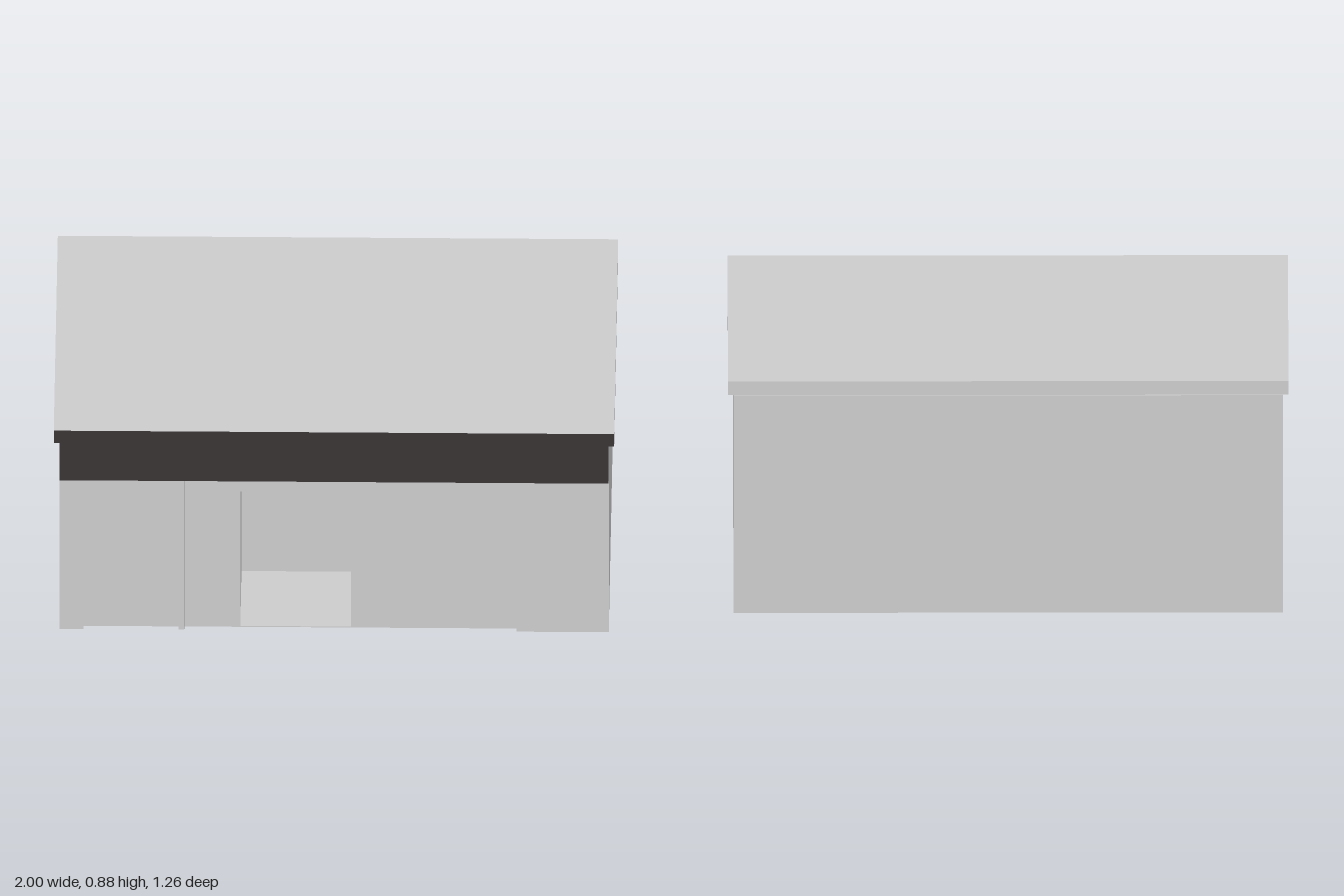
import * as THREE from 'three';

export function createModel() {
  const group = new THREE.Group();
  group.name = 'shopBuilding';
  const grey = new THREE.MeshStandardMaterial({ color: 0xcccccc, flatShading: true });
  const dark = new THREE.MeshStandardMaterial({ color: 0x3a3435, flatShading: true });
  // Box faces run +x, -x, +y, -y, +z, -z: only the front is dark
  const darkFront = [grey, grey, grey, grey, dark, grey];

  const back = -0.63, wallFront = 0.555, doorBack = 0.2;

  function box(name, x0, x1, y0, y1, z0, z1, material = grey) {
    const mesh = new THREE.Mesh(new THREE.BoxGeometry(x1 - x0, y1 - y0, z1 - z0), material);
    mesh.position.set((x0 + x1) / 2, (y0 + y1) / 2, (z0 + z1) / 2);
    mesh.name = name;
    group.add(mesh);
  }

  function rect(path, x0, x1, y0, y1) {
    path.moveTo(x0, y0);
    path.lineTo(x1, y0);
    path.lineTo(x1, y1);
    path.lineTo(x0, y1);
    path.closePath();
    return path;
  }

  // Front half of the body, with the doorway recess and its thin floor
  const wall = rect(new THREE.Shape(), -0.98, 0.98, 0, 0.83);
  wall.holes.push(rect(new THREE.Path(), -0.335, 0.06, 0.004, 0.58));
  const frontBody = new THREE.Mesh(
    new THREE.ExtrudeGeometry(wall, { depth: wallFront - doorBack, bevelEnabled: false }), grey);
  frontBody.position.z = doorBack;
  frontBody.name = 'frontBody';
  group.add(frontBody);

  // Solid rear half closes the recess
  box('rearBody', -0.98, 0.98, 0, 0.83, back, doorBack);

  // Shallow pilasters on the front wall
  for (const [name, x0, x1] of [
    ['rightPilaster', -0.98, -0.895],
    ['mullion', -0.555, -0.535],
    ['leftPilaster', 0.65, 0.98],
  ]) box(name, x0, x1, 0, 0.655, wallFront, 0.575);

  // Sign band and overhanging roof slab
  box('fascia', -0.98, 0.98, 0.652, 0.832, wallFront, 0.6, darkFront);
  box('roof', -1, 1, 0.832, 0.884, back, 0.63, darkFront);

  return group;
}
